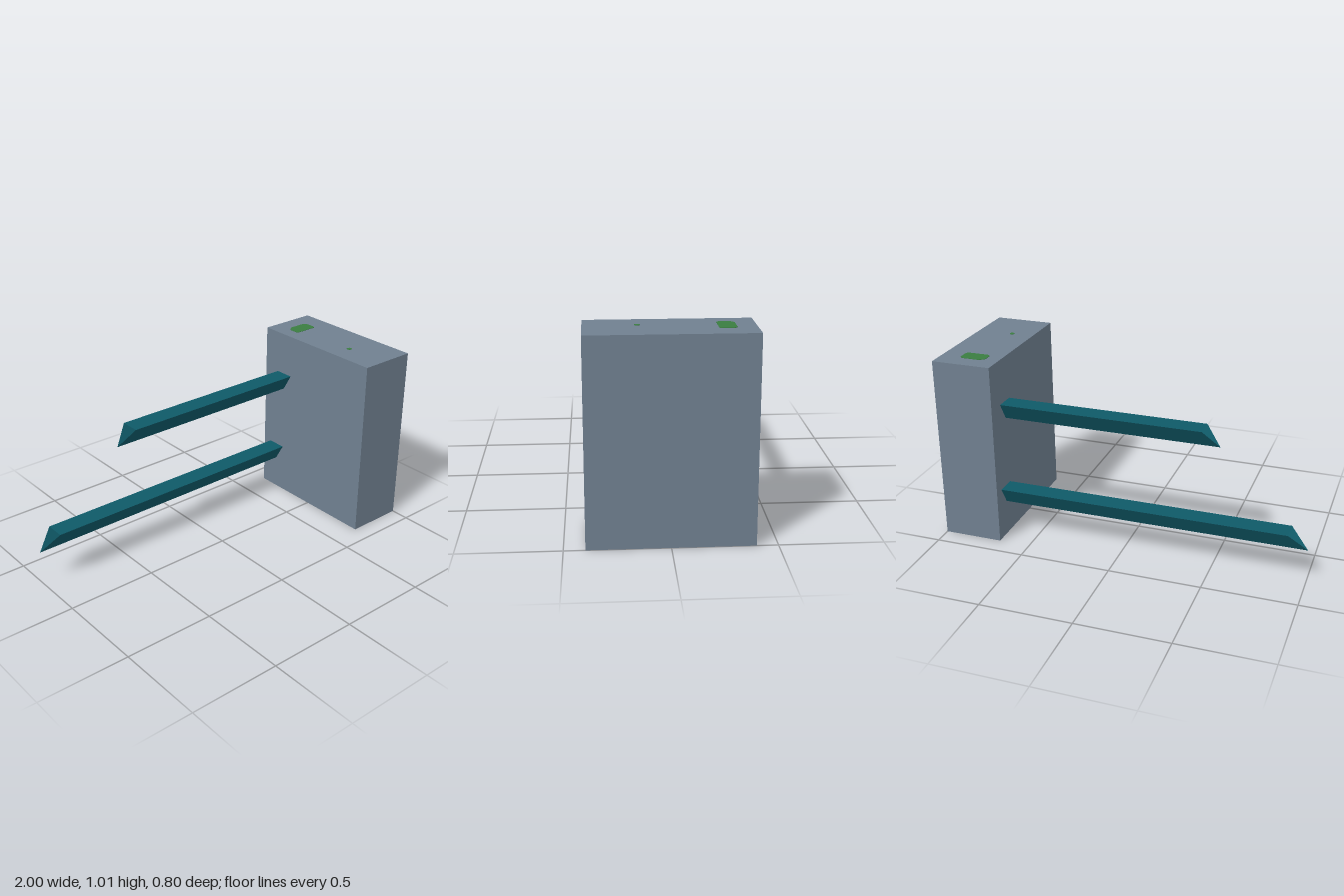
import * as THREE from 'three';

const slate = new THREE.MeshStandardMaterial({ name: 'slate', color: 0x708090, side: THREE.DoubleSide });
const teal = new THREE.MeshStandardMaterial({ name: 'deepTeal', color: 0x0f5a68, side: THREE.DoubleSide });
const green = new THREE.MeshStandardMaterial({ name: 'mossGreen', color: 0x3a7d40 });

function part(name, geometry, material) {
  const mesh = new THREE.Mesh(geometry, material);
  mesh.name = name;
  return mesh;
}

// Box shell without its bottom face
function openBox(w, h, d) {
  const g = new THREE.BoxGeometry(w, h, d);
  const index = Array.from(g.index.array);
  index.splice(18, 6);
  g.setIndex(index);
  g.clearGroups();
  return g;
}

// Hollow three-sided bar, flat on top, keel below, open slanted tip at -x
function keelBar(rootX, topX, tipX, topY, keelY, z, half) {
  const ring = (topEnd, keelEnd) => [
    [topEnd, topY, z - half], [topEnd, topY, z + half], [keelEnd, keelY, z],
  ];
  const tip = ring(topX, tipX), root = ring(rootX, rootX);
  const points = [];
  for (let i = 0; i < 3; i++) {
    const j = (i + 1) % 3;
    points.push(...tip[i], ...tip[j], ...root[j], ...tip[i], ...root[j], ...root[i]);
  }
  const g = new THREE.BufferGeometry();
  g.setAttribute('position', new THREE.Float32BufferAttribute(points, 3));
  g.computeVertexNormals();
  return g;
}

export function createModel() {
  const model = new THREE.Group();
  model.name = 'wallBoxWithBars';

  // Upright box, open underneath
  const height = 1.013;
  const box = part('box', openBox(0.326, height, 0.796), slate);
  box.position.set(0.837, height / 2, 0);
  model.add(box);

  // Two bars reaching out to -x
  model.add(part('lowerBar', keelBar(0.674, -0.902, -1, 0.29, 0.194, -0.29, 0.055), teal));
  model.add(part('upperBar', keelBar(0.674, -0.43, -0.515, 0.77, 0.675, -0.242, 0.055), teal));

  // Green patches on the lid
  const outline = new THREE.Shape([
    [-0.07, -0.03], [-0.055, -0.042], [0.06, -0.042], [0.07, -0.03],
    [0.07, 0.028], [0.055, 0.042], [-0.045, 0.042], [-0.07, 0.02],
  ].map(([x, y]) => new THREE.Vector2(x, y)));
  const patch = part('lidPatch', new THREE.ExtrudeGeometry(outline, { depth: 0.002, bevelEnabled: false }), green);
  patch.rotation.x = -Math.PI / 2;
  patch.position.set(0.82, height, -0.262);
  const dot = part('lidDot', new THREE.CylinderGeometry(0.014, 0.014, 0.002, 8), green);
  dot.position.set(0.798, height + 0.001, 0.146);
  model.add(patch, dot);

  return model;
}
